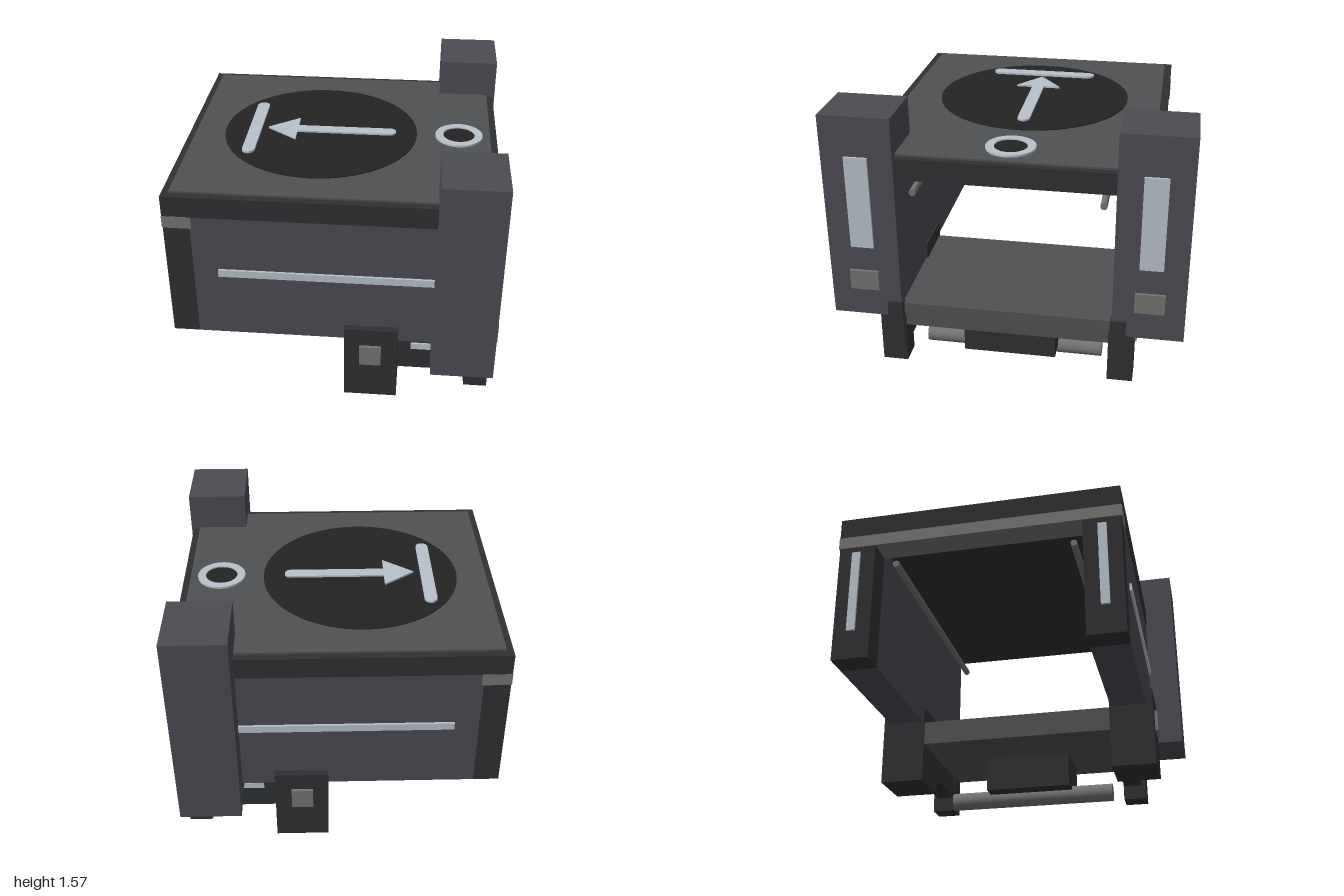
import * as THREE from 'three';

const mat = (color) => new THREE.MeshStandardMaterial({ color });

export function createModel() {
  const group = new THREE.Group();
  const shell = mat(0x4b4b53), dark = mat(0x2f3032), panel = mat(0x505153);
  const black = mat(0x232325), light = mat(0xb8c2ca), grey = mat(0x757472);

  const add = (name, geometry, material, x, y, z) => {
    const mesh = new THREE.Mesh(geometry, material);
    mesh.name = name;
    mesh.position.set(x, y, z);
    group.add(mesh);
    return mesh;
  };
  // Box given by its limits on each axis
  const box = (name, material, x0, x1, y0, y1, z0, z1) =>
    add(name, new THREE.BoxGeometry(x1 - x0, y1 - y0, z1 - z0), material,
      (x0 + x1) / 2, (y0 + y1) / 2, (z0 + z1) / 2);
  // The same box on both sides of the model
  const pair = (name, material, x0, x1, y0, y1, z0, z1) => {
    box(name + 'Front', material, x0, x1, y0, y1, z0, z1);
    box(name + 'Back', material, x0, x1, y0, y1, -z1, -z0);
  };
  // Flat shape drawn in plan (x, z) and raised to a thickness
  const plate = (name, shape, material, y, h) => {
    const geometry = new THREE.ExtrudeGeometry(shape, { depth: h, bevelEnabled: false, curveSegments: 24 });
    add(name, geometry.rotateX(-Math.PI / 2), material, 0, y, 0);
  };

  // Roof
  box('roofSlab', dark, -0.93, 0.91, 1.22, 1.345, -0.82, 0.82);
  box('roofPanel', panel, -0.89, 0.87, 1.34, 1.357, -0.775, 0.775);
  box('roofEndBeam', grey, -0.932, -0.77, 1.15, 1.222, -0.823, 0.823);

  // Roof disc, arrow, bar and ring
  add('roofDisc', new THREE.CylinderGeometry(0.575, 0.575, 0.01, 64), black, -0.14, 1.357, 0);
  const arrow = new THREE.Shape();
  arrow.moveTo(-0.46, 0);
  arrow.lineTo(-0.28, -0.135);
  arrow.lineTo(-0.28, -0.036);
  arrow.lineTo(0.274, -0.036);
  arrow.absarc(0.274, 0, 0.036, -Math.PI / 2, Math.PI / 2, false);
  arrow.lineTo(-0.28, 0.036);
  arrow.lineTo(-0.28, 0.135);
  arrow.closePath();
  plate('roofArrow', arrow, light, 1.355, 0.018);
  const bar = new THREE.Shape();
  bar.absarc(-0.535, 0.29, 0.037, 0, Math.PI, false);
  bar.absarc(-0.535, -0.29, 0.037, Math.PI, Math.PI * 2, false);
  bar.closePath();
  plate('roofBar', bar, light, 1.355, 0.02);
  const ring = new THREE.Shape().absarc(0.685, 0, 0.14, 0, Math.PI * 2, false);
  ring.holes.push(new THREE.Path().absarc(0.685, 0, 0.093, 0, Math.PI * 2, true));
  plate('roofRing', ring, light, 1.355, 0.014);
  add('roofRingCentre', new THREE.CylinderGeometry(0.094, 0.094, 0.008, 48), black, 0.685, 1.358, 0);

  // Side walls with end posts and light strips
  pair('wall', shell, -0.78, 0.6, 0.44, 1.22, 0.6, 0.815);
  pair('wallEndPost', dark, -0.93, -0.78, 0.44, 1.22, 0.6, 0.815);
  pair('wallStrip', light, -0.64, 0.58, 0.84, 0.885, 0.81, 0.828);
  pair('endPostStrip', light, -0.943, -0.925, 0.61, 1.11, 0.685, 0.735);

  // Corner pillars
  pair('pillar', shell, 0.57, 0.922, 0.36, 1.575, 0.6, 1.0);
  pair('pillarStrip', light, 0.91, 0.935, 0.8, 1.345, 0.737, 0.868);
  pair('pillarPlate', grey, 0.91, 0.938, 0.53, 0.65, 0.72, 0.887);

  // Inner rails under the roof
  for (const s of [-1, 1]) {
    const rail = add(s > 0 ? 'innerRailFront' : 'innerRailBack',
      new THREE.CylinderGeometry(0.02, 0.02, 1.6, 12), grey, 0.03, 1.11, s * 0.528);
    rail.rotation.z = Math.PI / 2;
  }

  // Floor and the chassis beneath it
  box('floor', panel, 0.08, 0.9, 0.292, 0.438, -0.6, 0.6);
  box('underBlock', dark, 0.45, 0.79, 0.08, 0.295, -0.27, 0.27);
  const roller = add('roller', new THREE.CylinderGeometry(0.056, 0.056, 1.06, 32), grey, 0.61, 0.06, 0);
  roller.rotation.x = Math.PI / 2;

  // Feet and side rails
  pair('sideRail', dark, 0.37, 0.79, 0.148, 0.438, 0.59, 0.7);
  pair('sideRailStrip', light, 0.455, 0.7, 0.297, 0.337, 0.69, 0.712);
  pair('largeFoot', dark, 0.07, 0.38, 0.055, 0.535, 0.59, 0.857);
  pair('largeFootPlate', grey, 0.16, 0.285, 0.295, 0.425, 0.85, 0.875);
  pair('smallFoot', dark, 0.78, 0.918, 0.058, 0.37, 0.585, 0.73);
  pair('smallFootPlate', grey, 0.82, 0.87, 0.3, 0.36, 0.72, 0.742);
  pair('floorBracket', dark, 0.88, 0.933, 0.145, 0.455, 0.592, 0.68);

  return group;
}
